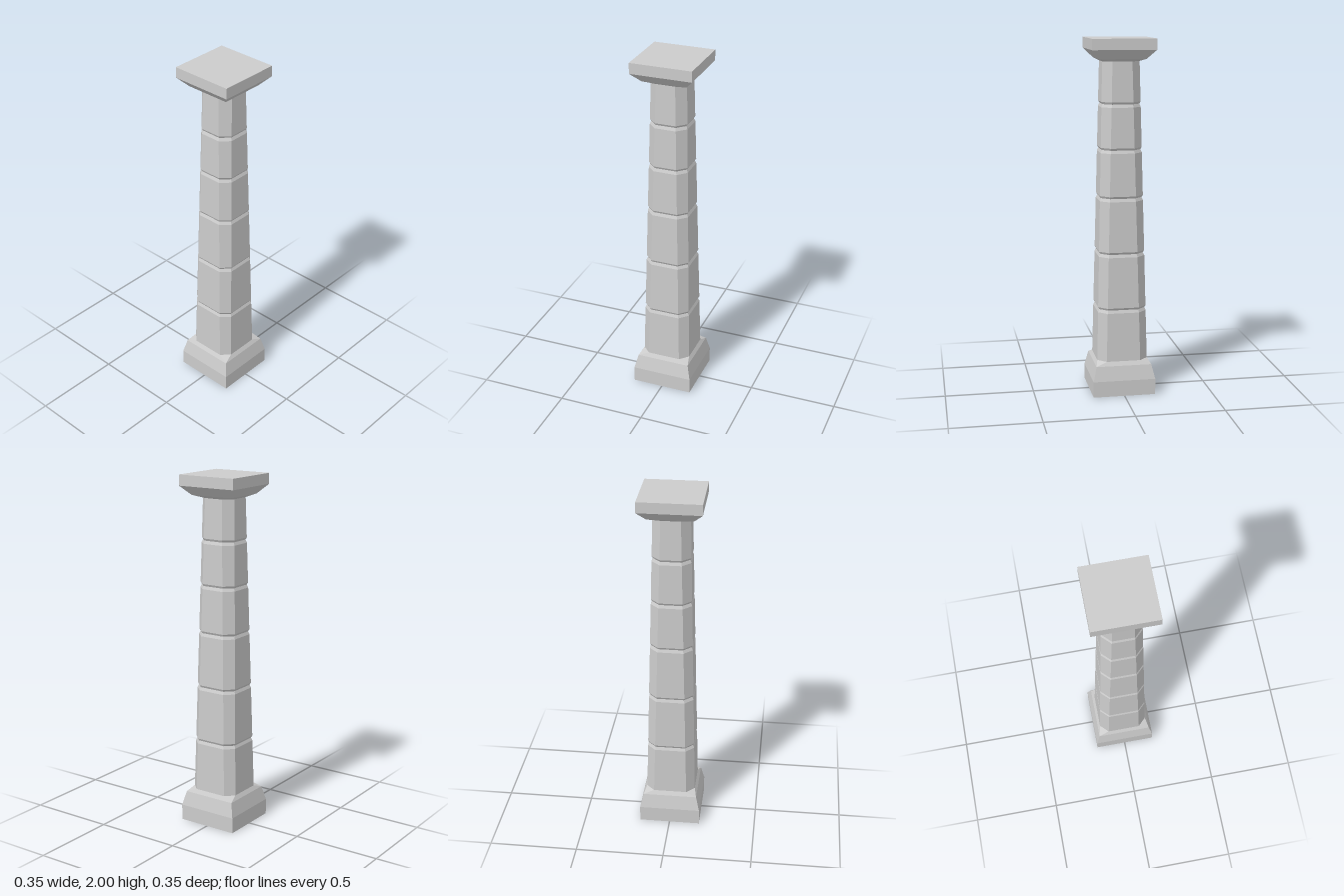
import * as THREE from 'three';

// Chamfered-square ring: y height, w half width, f half length of each flat (f = w gives a plain square)
function ring([y, w, f = w]) {
  return [[w, -f], [w, f], [f, w], [-f, w], [-w, f], [-w, -f], [-f, -w], [f, -w]]
    .map(([x, z]) => new THREE.Vector3(x, y, z * 0.985));
}

// Skins a list of rings from bottom to top, with optional end caps
function loft(name, levels, material, { bottom = false, top = false } = {}) {
  const rings = levels.map(ring);
  const pos = [];
  const tri = (a, b, c) => {
    const area = b.clone().sub(a).cross(c.clone().sub(a)).length();
    if (area > 1e-9) for (const p of [a, b, c]) pos.push(p.x, p.y, p.z);
  };
  for (let k = 0; k < rings.length - 1; k++) {
    for (let i = 0; i < 8; i++) {
      const j = (i + 1) % 8;
      const lo = rings[k], hi = rings[k + 1];
      tri(lo[i], hi[i], hi[j]);
      tri(lo[i], hi[j], lo[j]);
    }
  }
  const cap = (r, up) => {
    const c = new THREE.Vector3(0, r[0].y, 0);
    for (let i = 0; i < 8; i++) {
      const j = (i + 1) % 8;
      if (up) tri(c, r[j], r[i]);
      else tri(c, r[i], r[j]);
    }
  };
  if (bottom) cap(rings[0], false);
  if (top) cap(rings[rings.length - 1], true);
  const geometry = new THREE.BufferGeometry();
  geometry.setAttribute('position', new THREE.Float32BufferAttribute(pos, 3));
  geometry.computeVertexNormals();
  const mesh = new THREE.Mesh(geometry, material);
  mesh.name = name;
  return mesh;
}

export function createModel() {
  const group = new THREE.Group();
  group.name = 'column';
  const stone = new THREE.MeshStandardMaterial({ color: 0xcccccc, flatShading: true });

  const shaftBottom = 0.195, shaftTop = 1.875;
  // Tapering shaft section, optionally sunk inwards for a groove
  const section = (y, inset = 0) => {
    const t = (y - shaftBottom) / (shaftTop - shaftBottom);
    return [y, THREE.MathUtils.lerp(0.143, 0.104, t) - inset, THREE.MathUtils.lerp(0.096, 0.055, t) - inset * 0.5];
  };

  // Square plinth whose shoulders close in on the octagonal shaft
  group.add(loft('base', [[0, 0.177], [0.09, 0.177], [0.172, 0.157], section(shaftBottom)], stone, { bottom: true }));

  // Shaft blocks separated by V-shaped joints
  const levels = [section(shaftBottom)];
  for (const y of [0.49, 0.808, 1.122, 1.39, 1.642]) {
    levels.push(section(y - 0.017), section(y, 0.007), section(y + 0.012));
  }
  levels.push(section(shaftTop));
  group.add(loft('shaft', levels, stone));

  // Flared capital and square top slab
  group.add(loft('capital', [section(shaftTop), [1.889, 0.128], [1.94, 0.177], [2, 0.177]], stone, { top: true }));
  return group;
}
